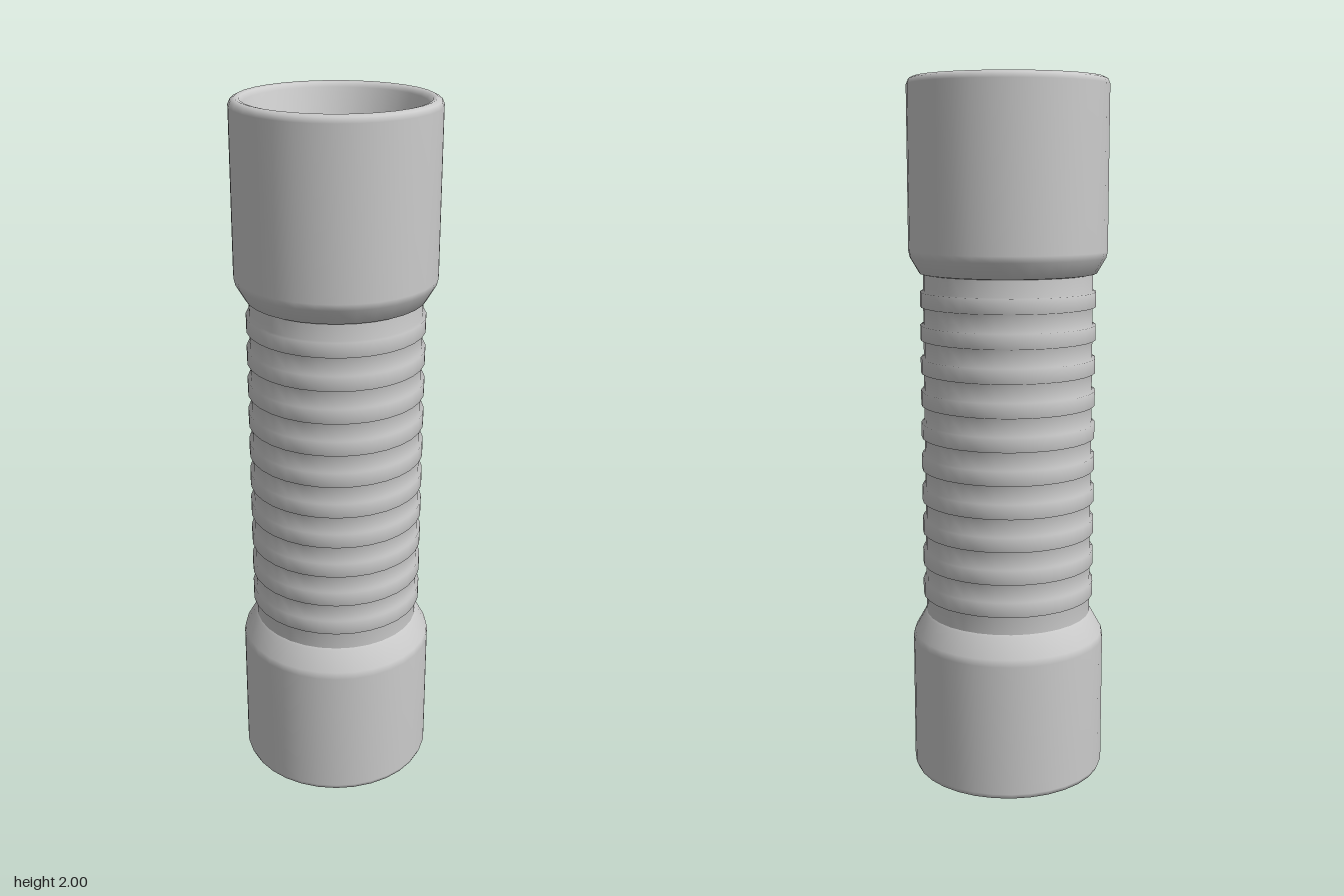
import * as THREE from 'three';

const SEGMENTS = 32;
const material = new THREE.MeshStandardMaterial({ color: 0xcccccc, side: THREE.DoubleSide });

// Revolve [radius, height] pairs, listed from bottom to top of the outer surface
function turned(name, profile) {
  const points = profile.map(([r, y]) => new THREE.Vector2(r, y));
  const mesh = new THREE.Mesh(new THREE.LatheGeometry(points, SEGMENTS), material);
  mesh.name = name;
  return mesh;
}

export function createModel() {
  const group = new THREE.Group();
  group.name = 'ribbedHandle';

  // Closed lower sleeve, tapering into the grip
  group.add(turned('lowerSleeve', [
    [0, 0], [0.262, 0], [0.274, 0.006], [0.28, 0.02],
    [0.28, 0.4], [0.276, 0.42], [0.245, 0.475], [0.236, 0.485],
  ]));

  // Grip with evenly spaced raised ribs
  const grip = [[0.24, 0.46]];
  for (let i = 0; i < 10; i++) {
    const y = 0.555 + i * 0.0934;
    grip.push([0.24, y - 0.023], [0.249, y - 0.021], [0.249, y + 0.021], [0.24, y + 0.023]);
  }
  grip.push([0.24, 1.49]);
  group.add(turned('ribbedGrip', grip));

  // Upper sleeve: outer wall, rounded rim and sloping inner wall
  group.add(turned('upperSleeve', [
    [0.236, 1.465], [0.25, 1.468], [0.276, 1.512], [0.28, 1.53],
    [0.28, 1.98], [0.274, 1.994], [0.262, 2], [0.25, 1.997],
    [0.241, 1.985], [0.225, 1.92], [0.208, 1.875], [0.196, 1.865],
  ]));

  // Plug closing the bottom of the recess
  group.add(turned('recessFloor', [
    [0.2, 1.865], [0.19, 1.876], [0.175, 1.885], [0.15, 1.888], [0, 1.888],
  ]));

  return group;
}
